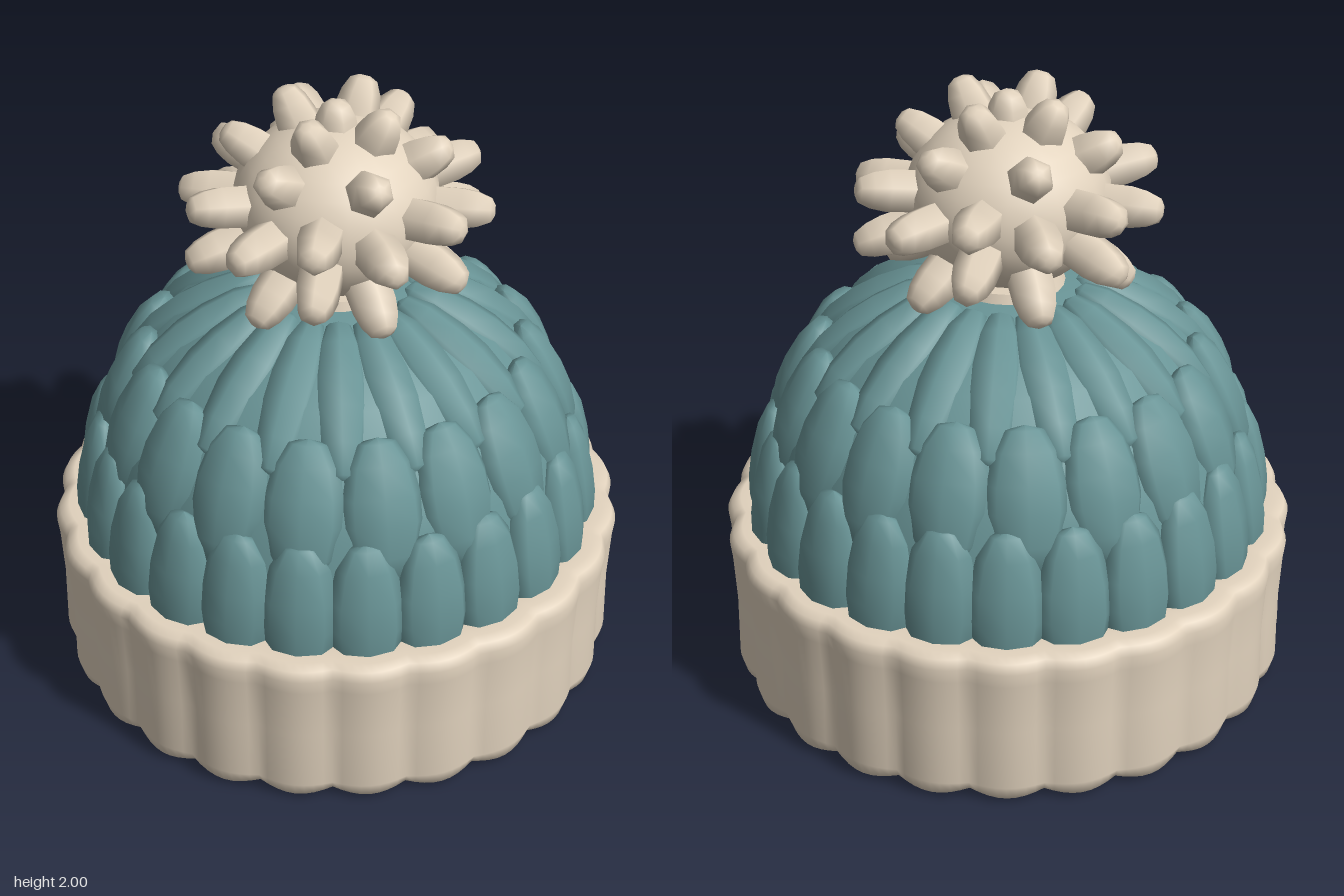
import * as THREE from 'three';
import { mergeVertices } from 'three/addons/utils/BufferGeometryUtils.js';

const cream = new THREE.MeshStandardMaterial({ color: 0xe2d3be });
cream.name = 'creamWool';
const teal = new THREE.MeshStandardMaterial({ color: 0x699496 });
teal.name = 'tealWool';
const tealShell = new THREE.MeshStandardMaterial({ color: 0x699496, side: THREE.DoubleSide });
tealShell.name = 'tealLining';

const points = (list) => list.map(([x, y]) => new THREE.Vector2(x, y));

function addMesh(parent, name, geometry, material) {
  const mesh = new THREE.Mesh(geometry, material);
  mesh.name = name;
  parent.add(mesh);
  return mesh;
}

// Thick folded cuff, gently scalloped all the way round
function brimGeometry(ribs) {
  const profile = points([
    [0.72, 0.05], [0.745, 0.015], [0.8, 0.003], [0.87, 0.003], [0.9, 0.02], [0.914, 0.07], [0.91, 0.28],
    [0.918, 0.46], [0.924, 0.51], [0.91, 0.54], [0.88, 0.552], [0.76, 0.55], [0.72, 0.52],
    [0.71, 0.3], [0.712, 0.1], [0.72, 0.05],
  ]);
  let geo = new THREE.LatheGeometry(profile, ribs * 8);
  const p = geo.attributes.position;
  for (let i = 0; i < p.count; i++) {
    const x = p.getX(i), y = p.getY(i), z = p.getZ(i);
    const lobe = Math.abs(Math.cos(Math.atan2(x, z) * ribs / 2)); // 1 on a rib, 0 in a groove
    const outer = THREE.MathUtils.smoothstep(Math.hypot(x, z), 0.76, 0.9);
    const s = 1 - (1 - lobe) * (0.006 + 0.018 * outer);
    const lift = y < 0.06 ? 0.018 * (1 - lobe) : 0;
    p.setXYZ(i, x * s, y + lift, z * s);
  }
  geo.deleteAttribute('uv');
  geo.deleteAttribute('normal');
  geo = mergeVertices(geo, 1e-4);
  geo.computeVertexNormals();
  return geo;
}

// One knitted stitch: a flattened pod along +y, tapering to both ends
function stitchGeometry(halfWidth, length, halfDepth) {
  const profile = points([
    [0, 0], [0.45, 0.02], [0.82, 0.2], [1, 0.43], [0.97, 0.62], [0.77, 0.84], [0.42, 0.98], [0, 1.01],
  ]);
  return new THREE.LatheGeometry(profile, 8).scale(halfWidth, length, halfDepth);
}

// A ring of stitches leaning from [r, y] to [r, y]
function stitchRow(name, { count, offset, from, to, halfWidth, halfDepth }) {
  const row = new THREE.Group();
  row.name = name;
  const dr = to[0] - from[0], dy = to[1] - from[1];
  const geo = stitchGeometry(halfWidth, Math.hypot(dr, dy), halfDepth);
  for (let i = 0; i < count; i++) {
    const arm = new THREE.Group();
    arm.name = 'stitchArm';
    arm.rotation.y = (i + offset) / count * Math.PI * 2;
    const stitch = addMesh(arm, 'stitch', geo, teal);
    stitch.position.set(0, from[1], from[0]);
    stitch.rotation.x = Math.atan2(dr, dy);
    row.add(arm);
  }
  return row;
}

// Pompom: a ball with blunt six-sided tufts in staggered rings
function makePompom() {
  const pompom = new THREE.Group();
  pompom.name = 'pompom';
  pompom.position.y = 1.645;
  addMesh(pompom, 'ball', new THREE.SphereGeometry(0.32, 24, 16).scale(1, 0.86, 1), cream);

  const tuft = (tip) => new THREE.LatheGeometry(points([
    [0.074, 0.2], [0.07, tip - 0.1], [0.06, tip - 0.05], [0.042, tip - 0.012], [0.018, tip], [0, tip],
  ]), 6);
  // polar angle, count, first azimuth, tip distance (degrees)
  const rings = [
    [0, 1, 0, 0.345], [28, 4, 40, 0.39], [57, 6, 0, 0.41], [81, 6, 30, 0.48],
    [89, 6, 0, 0.485], [103, 6, 30, 0.495], [122, 6, 0, 0.465],
  ];
  for (const [polar, count, first, tip] of rings) {
    const geo = tuft(tip);
    for (let i = 0; i < count; i++) {
      const mesh = addMesh(pompom, 'tuft', geo, cream);
      const azimuth = THREE.MathUtils.degToRad(first + i * 360 / count);
      mesh.rotation.set(THREE.MathUtils.degToRad(polar), azimuth, 0, 'YXZ');
    }
  }
  return pompom;
}

export function createModel() {
  const hat = new THREE.Group();
  hat.name = 'bobbleHat';

  addMesh(hat, 'brim', brimGeometry(24), cream);

  // Thin crown under the stitches
  const crown = points([
    [0.79, 0.5], [0.78, 0.7], [0.73, 0.9], [0.65, 1.06], [0.51, 1.22], [0.33, 1.32], [0.15, 1.36], [0, 1.362],
  ]);
  addMesh(hat, 'crown', new THREE.LatheGeometry(crown, 48), tealShell);

  hat.add(stitchRow('lowerStitches', {
    count: 24, offset: 0, from: [0.805, 0.4], to: [0.745, 0.9], halfWidth: 0.12, halfDepth: 0.072,
  }));
  hat.add(stitchRow('middleStitches', {
    count: 18, offset: 0.5, from: [0.745, 0.75], to: [0.585, 1.17], halfWidth: 0.134, halfDepth: 0.082,
  }));
  hat.add(stitchRow('upperStitches', {
    count: 18, offset: 0, from: [0.64, 1.06], to: [0.22, 1.345], halfWidth: 0.092, halfDepth: 0.088,
  }));

  // Small collar where the pompom is sewn on
  const collar = addMesh(hat, 'pompomCollar', new THREE.CylinderGeometry(0.17, 0.18, 0.03, 24), cream);
  collar.position.y = 1.373;
  hat.add(makePompom());
  return hat;
}
